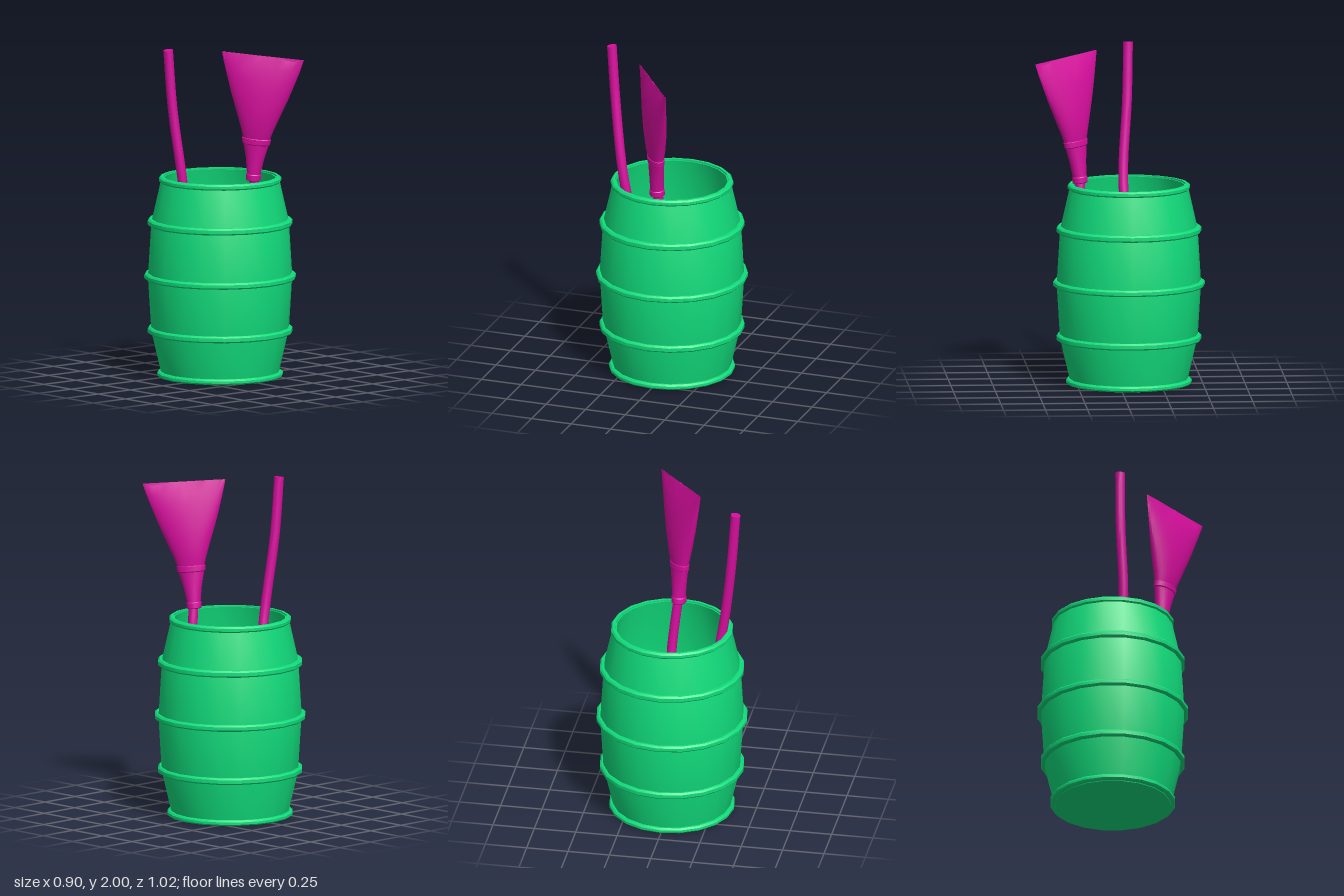
import * as THREE from 'three';
import { toCreasedNormals } from 'three/addons/utils/BufferGeometryUtils.js';

const SIDES = 20;
const green = new THREE.MeshStandardMaterial({ color: 0x11dd7c });
const pink = new THREE.MeshStandardMaterial({ color: 0xd80e9e });

function addMesh(parent, name, geometry, material) {
  const mesh = new THREE.Mesh(toCreasedNormals(geometry, 0.6), material);
  mesh.name = name;
  parent.add(mesh);
  return mesh;
}

function lathe(points) {
  return new THREE.LatheGeometry(points.map(([r, y]) => new THREE.Vector2(r, y)), SIDES);
}

// Capped loft along y through elliptical sections [y, halfWidth, halfThickness, offsetX, offsetZ]
function loft(sections, sides, tipWave = 0) {
  const n = sections.length - 1;
  const geometry = new THREE.CylinderGeometry(1, 1, 1, sides, n);
  const p = geometry.attributes.position;
  for (let i = 0; i < p.count; i++) {
    const row = Math.round((p.getY(i) + 0.5) * n);
    const [y, a, b, ox = 0, oz = 0] = sections[row];
    const x = p.getX(i);
    const wave = row === n ? tipWave * (Math.sin(x * 7) + Math.cos(x * 13)) * 0.5 : 0;
    p.setXYZ(i, ox + a * x, y + wave, oz + b * p.getZ(i));
  }
  return geometry;
}

// Brush running from its handle end to its bristle tip; "across" is the bristle width direction
function makeBrush(name, start, end, across) {
  const brush = new THREE.Group();
  brush.name = name;

  // Slightly bowed round handle
  const curve = new THREE.CatmullRomCurve3([
    [0, 0, 0], [0.01, 0.35, -0.02], [0.036, 0.72, -0.025], [0.036, 0.9, -0.02], [0, 1.24, 0],
  ].map((v) => new THREE.Vector3(...v)));
  const handle = curve.getPoints(16).map((c) => [c.y, 0.029, 0.029, c.x, c.z]);
  addMesh(brush, 'handle', loft(handle, 16), pink);

  // Ferrule: collar at the handle, flattening towards the bristles
  addMesh(brush, 'ferrule', loft([
    [1.19, 0.04, 0.04], [1.195, 0.045, 0.045], [1.225, 0.045, 0.045], [1.23, 0.041, 0.041],
    [1.32, 0.055, 0.042], [1.41, 0.077, 0.043], [1.415, 0.084, 0.047],
    [1.445, 0.088, 0.047], [1.45, 0.08, 0.042],
  ], 20), pink);

  // Bristles fan out to a thin, slightly ragged edge
  addMesh(brush, 'bristles', loft([
    [1.44, 0.08, 0.042], [1.5, 0.098, 0.052], [1.6, 0.135, 0.056], [1.7, 0.172, 0.052],
    [1.8, 0.205, 0.04], [1.88, 0.23, 0.024], [1.945, 0.248, 0.004],
  ], 28, 0.012), pink);

  // Orient the local axes along the brush and across its width
  const from = new THREE.Vector3(...start);
  const axis = new THREE.Vector3(...end).sub(from).normalize();
  const normal = new THREE.Vector3(...across).cross(axis).normalize();
  const width = axis.clone().cross(normal);
  brush.quaternion.setFromRotationMatrix(new THREE.Matrix4().makeBasis(width, axis, normal));
  brush.position.copy(from);
  return brush;
}

export function createModel() {
  const model = new THREE.Group();
  model.name = 'brushesInBarrel';

  const barrel = new THREE.Group();
  barrel.name = 'barrel';
  barrel.position.z = -0.06;
  model.add(barrel);

  // Hollow barrel body: outside, rim, inside, floor
  addMesh(barrel, 'barrelBody', lathe([
    [0, 0], [0.345, 0], [0.41, 0.28], [0.43, 0.605], [0.41, 0.93], [0.35, 1.195],
    [0.33, 1.195], [0.385, 0.93], [0.405, 0.605], [0.385, 0.28], [0.33, 0.04], [0, 0.04],
  ]), green);

  // Hoops: inner radius, outer radius, bottom, top
  const hoops = [
    [0.33, 0.375, 0.004, 0.036], [0.39, 0.432, 0.263, 0.302], [0.41, 0.452, 0.588, 0.625],
    [0.39, 0.432, 0.911, 0.95], [0.338, 0.365, 1.17, 1.204],
  ];
  for (const [r0, r1, y0, y1] of hoops) {
    addMesh(barrel, 'hoop', lathe([
      [r0, y0], [r1 - 0.008, y0], [r1, y0 + 0.008], [r1, y1 - 0.01], [r1 - 0.01, y1], [r0, y1], [r0, y0],
    ]), green);
  }

  // One brush stands bristles down, the other bristles up
  model.add(makeBrush('brushDown', [-0.388, 1.997, -0.08], [-0.125, 0.06, -0.09], [0, 0, 1]));
  model.add(makeBrush('brushUp', [0.01, 0.03, 0.095], [0.015, 1.965, 0.315], [0.62, 0, 0.78]));
  return model;
}
